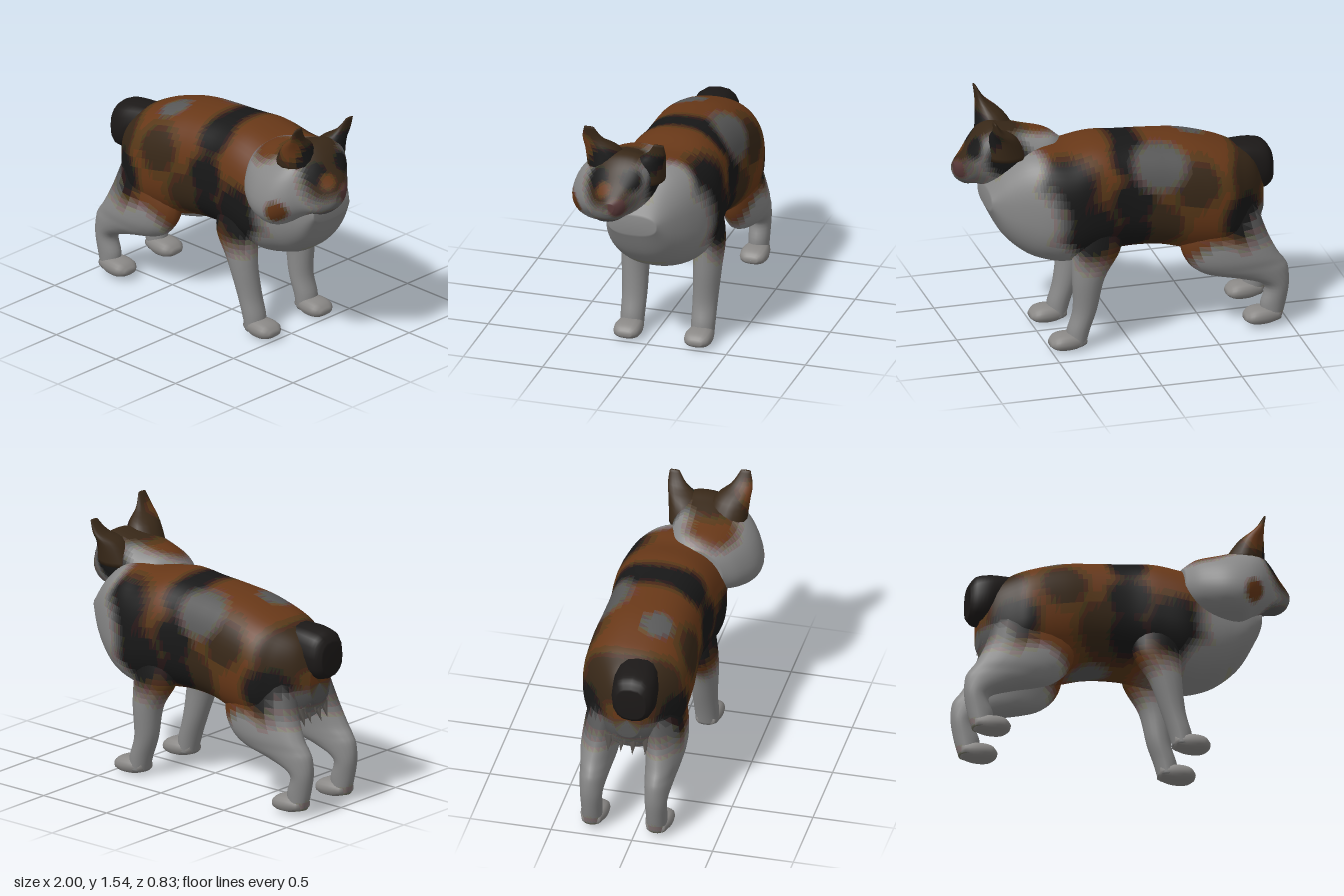
import * as THREE from 'three';

const WHITE = 0x8a8886, GREY = 0x5c5854, ORANGE = 0x633a18, BROWN = 0x3c2a18, DARK = 0x1c1918, PINK = 0x5c3832;
const MID_Z = -0.08; // centre plane of the trunk

// Coats: soft round spots [colour, x, y, z, radius] painted in order; z null means both flanks.
const BODY_SPOTS = [
  [BROWN, -0.4, 1, null, 0.2], [BROWN, -0.14, 0.75, null, 0.25], [BROWN, -0.78, 1, null, 0.22],
  [DARK, 0, 1.2, null, 0.16], [DARK, 0, 0.95, null, 0.19], [DARK, 0, 0.72, null, 0.17],
  [DARK, 0.28, 0.78, null, 0.27], [DARK, 0.42, 1.08, -0.4, 0.28], [DARK, -0.7, 0.75, null, 0.2],
  [GREY, -0.18, 1.15, -0.34, 0.22], [GREY, -0.45, 1.22, 0.03, 0.13], [GREY, -0.2, 0.53, MID_Z, 0.17], [GREY, -0.84, 0.64, null, 0.15],
  [WHITE, 0.72, 0.85, null, 0.36], [WHITE, 0.65, 1.15, -0.2, 0.2], [WHITE, 0.5, 0.55, null, 0.22],
  [WHITE, 0.3, 0.25, null, 0.4], [WHITE, -0.85, 0.3, null, 0.38], [WHITE, -0.55, 0.42, null, 0.22],
];
const HEAD_SPOTS = [
  [ORANGE, 0.5, 1.36, 0.15, 0.24], [BROWN, 0.75, 1.38, 0.08, 0.26], [BROWN, 0.87, 1.18, 0.1, 0.23], [DARK, 0.72, 1.2, -0.2, 0.22],
  [DARK, 0.88, 1.24, 0.18, 0.1], [DARK, 0.88, 1.25, -0.02, 0.1], [ORANGE, 0.92, 1.18, 0.13, 0.07], [ORANGE, 0.74, 1, 0.38, 0.1],
  [GREY, 0.9, 0.98, 0.12, 0.14], [PINK, 0.97, 1.1, 0.04, 0.08],
];
const EAR_SPOTS = [[DARK, 0.84, 1.34, null, 0.1], [ORANGE, 0.77, 1.4, 0.32, 0.12]];

// Smooth loft through rows [x, y, z, radiusU, radiusZ, angle of U in the xy plane].
function loft(rows, { sides = 24, sub = 4, power = 1, skew = 0 } = {}) {
  const smooth = [];
  const n = rows.length - 1;
  for (let i = 0; i <= n * sub; i++) {
    const k = Math.min(Math.floor(i / sub), n - 1), t = i / sub - k;
    const at = (j) => rows[Math.max(0, Math.min(n, j))];
    smooth.push(rows[0].map((_, c) => {
      const [a, b, d, e] = [at(k - 1)[c], at(k)[c], at(k + 1)[c], at(k + 2)[c]];
      return b + 0.5 * t * (d - a + t * (2 * a - 5 * b + 4 * d - e + t * (3 * (b - d) + e - a)));
    }));
  }
  // close both ends
  const closed = (r) => [r[0], r[1], r[2], 0.001, 0.001, r[5]];
  const all = [closed(smooth[0]), ...smooth, closed(smooth[smooth.length - 1])];
  const pos = [], index = [];
  const bulge = (v) => Math.sign(v) * Math.abs(v) ** power;
  all.forEach(([x, y, z, ru, rz, deg], i) => {
    const a = THREE.MathUtils.degToRad(deg);
    for (let j = 0; j < sides; j++) {
      const th = (j / sides) * Math.PI * 2;
      const u = ru * bulge(Math.cos(th));
      const py = y + u * Math.sin(a);
      pos.push(x + u * Math.cos(a), py, z + rz * bulge(Math.sin(th)) + skew * (py - y));
      if (i === all.length - 1) continue;
      const p = i * sides + j, q = i * sides + ((j + 1) % sides);
      index.push(p, q, p + sides, q, q + sides, p + sides);
    }
  });
  const g = new THREE.BufferGeometry();
  g.setAttribute('position', new THREE.Float32BufferAttribute(pos, 3));
  g.setIndex(index);
  g.computeVertexNormals();
  return g;
}

function solid(name, geometry, color) {
  const m = new THREE.Mesh(geometry, new THREE.MeshStandardMaterial({ color }));
  m.name = name;
  return m;
}

// Coat colour at a point, rounded to a small palette.
function coatColor(base, spots, x, y, z) {
  const color = new THREE.Color(base);
  for (const [hex, a, b, c, r] of spots) {
    const d = Math.hypot(x - a, y - b, c === null ? 0 : z - c);
    color.lerp(new THREE.Color(hex), 1 - THREE.MathUtils.smoothstep(d, 0.5 * r, r));
  }
  return (color.getHex() & 0xf0f0f0) | 0x080808;
}

// Split a surface into coat patches, one mesh per colour, sharing smooth normals.
function furred(name, geometry, base, spots) {
  const group = new THREE.Group();
  group.name = name;
  const p = geometry.attributes.position, idx = geometry.index.array, patches = new Map();
  for (let i = 0; i < idx.length; i += 3) {
    const f = [idx[i], idx[i + 1], idx[i + 2]];
    const mean = (get) => f.reduce((s, v) => s + p[get](v) / 3, 0);
    const color = coatColor(base, spots, mean('getX'), mean('getY'), mean('getZ'));
    if (!patches.has(color)) patches.set(color, []);
    patches.get(color).push(...f);
  }
  for (const [color, faces] of patches) {
    const g = new THREE.BufferGeometry();
    g.setAttribute('position', p);
    g.setAttribute('normal', geometry.attributes.normal);
    g.setIndex(faces);
    group.add(solid(name + 'Patch', g, color));
  }
  return group;
}

// Row across the body: x, top, bottom, z centre, half width.
const slice = ([x, top, bottom, z, rz]) => [x, (top + bottom) / 2, z, (top - bottom) / 2, rz, 90];

// Blocky paw with its heel at x and sole at y
function paw(name, x, y, z) {
  const rows = [[0, 0.085, 0.025, 0.055], [0.07, 0.105, 0.003, 0.078], [0.14, 0.105, 0, 0.085],
    [0.19, 0.09, 0.01, 0.075], [0.22, 0.06, 0.03, 0.04]];
  return solid(name, loft(rows.map(([dx, t, b, rz]) => slice([x + dx, y + t, y + b, z, rz])), { sides: 16, sub: 3, power: 0.8 }), WHITE);
}

export function createModel() {
  const cat = new THREE.Group();
  cat.name = 'cat';

  // Trunk from rump to chest
  const trunk = [
    [-0.88, 0.9, 0.66, -0.06, 0.08], [-0.82, 1.04, 0.56, -0.06, 0.17], [-0.71, 1.12, 0.5, -0.07, 0.26],
    [-0.6, 1.17, 0.49, MID_Z, 0.32], [-0.4, 1.23, 0.51, MID_Z, 0.325], [-0.2, 1.255, 0.56, MID_Z, 0.31],
    [0, 1.27, 0.57, MID_Z, 0.305], [0.18, 1.28, 0.55, MID_Z, 0.325], [0.36, 1.25, 0.52, MID_Z, 0.335],
    [0.5, 1.25, 0.54, MID_Z, 0.305], [0.62, 1.22, 0.59, -0.06, 0.265], [0.74, 1.12, 0.7, -0.03, 0.21],
    [0.83, 0.99, 0.87, -0.01, 0.15],
  ].map(slice);
  cat.add(furred('trunk', loft(trunk, { sides: 48, sub: 7, power: 0.82 }), ORANGE, BODY_SPOTS));

  // Head with full cheeks, tilted toward its right
  const head = [
    [0.34, 1.23, 1.0, 0.1, 0.12], [0.42, 1.29, 0.93, 0.11, 0.2], [0.55, 1.32, 0.88, 0.13, 0.255],
    [0.68, 1.36, 0.87, 0.135, 0.26], [0.78, 1.38, 0.93, 0.11, 0.235], [0.86, 1.33, 0.97, 0.09, 0.18],
    [0.93, 1.23, 0.98, 0.09, 0.12], [0.98, 1.16, 1.02, 0.09, 0.07], [1, 1.13, 1.06, 0.09, 0.035],
  ].map(slice);
  cat.add(furred('head', loft(head, { sides: 40, sub: 6, power: 0.9, skew: -0.34 }), WHITE, HEAD_SPOTS));

  // Broad blunt ears, listed from tip to base
  cat.add(furred('rightEar', loft([
    [0.815, 1.54, 0.265, 0.008, 0.03, 0], [0.785, 1.46, 0.25, 0.03, 0.065, 0],
    [0.74, 1.38, 0.2, 0.085, 0.11, 0], [0.71, 1.26, 0.17, 0.13, 0.13, 0],
  ], { sides: 16 }), BROWN, EAR_SPOTS));
  cat.add(furred('leftEar', loft([
    [0.815, 1.475, -0.175, 0.008, 0.03, 0], [0.785, 1.4, -0.15, 0.03, 0.06, 0],
    [0.74, 1.33, -0.095, 0.085, 0.1, 0], [0.71, 1.2, -0.07, 0.13, 0.11, 0],
  ], { sides: 16 }), BROWN, EAR_SPOTS));

  // Bobbed tail
  cat.add(solid('tail', loft([
    [-0.95, 0.94, -0.02, 0.1, 0.09, 90], [-0.91, 0.95, -0.02, 0.145, 0.125, 90], [-0.83, 0.965, -0.02, 0.15, 0.14, 90],
    [-0.73, 1.01, -0.03, 0.11, 0.13, 90], [-0.62, 1.04, -0.04, 0.08, 0.11, 90],
  ], { sides: 16, power: 0.8 }), DARK));

  for (const side of [1, -1]) {
    const label = side > 0 ? 'right' : 'left';

    // Front leg from shoulder to ankle; the left one stands slightly forward
    const zf = MID_Z + side * 0.222, step = side > 0 ? 0 : 0.03;
    cat.add(furred(label + 'FrontLeg', loft([
      [0.2, 0.78, zf - side * 0.02, 0.16, 0.09, 0], [0.185 + step, 0.62, zf, 0.15, 0.098, 0], [0.235 + step, 0.45, zf + side * 0.008, 0.1, 0.086, 0],
      [0.285, 0.25, zf, 0.074, 0.077, 0], [0.325, 0.12, zf, 0.07, 0.074, 0], [0.34, 0.03, zf, 0.06, 0.07, 0],
    ], { sides: 20, sub: 5 }), ORANGE, BODY_SPOTS));
    cat.add(paw(label + 'FrontPaw', 0.285, 0, zf));

    // Hind leg: broad thigh, hock, upright shank
    const zh = -0.07 + side * 0.2;
    cat.add(furred(label + 'HindLeg', loft([
      [-0.58, 0.82, zh - side * 0.06, 0.22, 0.12, 0], [-0.59, 0.62, zh - side * 0.02, 0.27, 0.125, 0],
      [-0.64, 0.48, zh, 0.285, 0.115, 0], [-0.715, 0.4, zh, 0.255, 0.1, -4], [-0.83, 0.345, zh, 0.165, 0.085, -6],
      [-0.92, 0.26, zh, 0.078, 0.068, 0], [-0.9, 0.14, zh, 0.078, 0.064, 0], [-0.89, 0.04, zh, 0.06, 0.06, 0],
    ], { sides: 22, sub: 5 }), ORANGE, BODY_SPOTS));
    cat.add(paw(label + 'HindPaw', -0.94, 0.014, zh));
  }

  // Shaggy fur at the rump
  for (let i = 0; i < 10; i++) {
    const tuft = solid('rumpFur', new THREE.ConeGeometry(0.03, 0.11, 5), GREY);
    tuft.position.set(-0.85 + 0.015 * (i % 2), 0.58 + 0.06 * (i % 3), MID_Z + 0.025 * (i - 4));
    tuft.rotation.z = Math.PI - 0.35;
    cat.add(tuft);
  }
  return cat;
}
